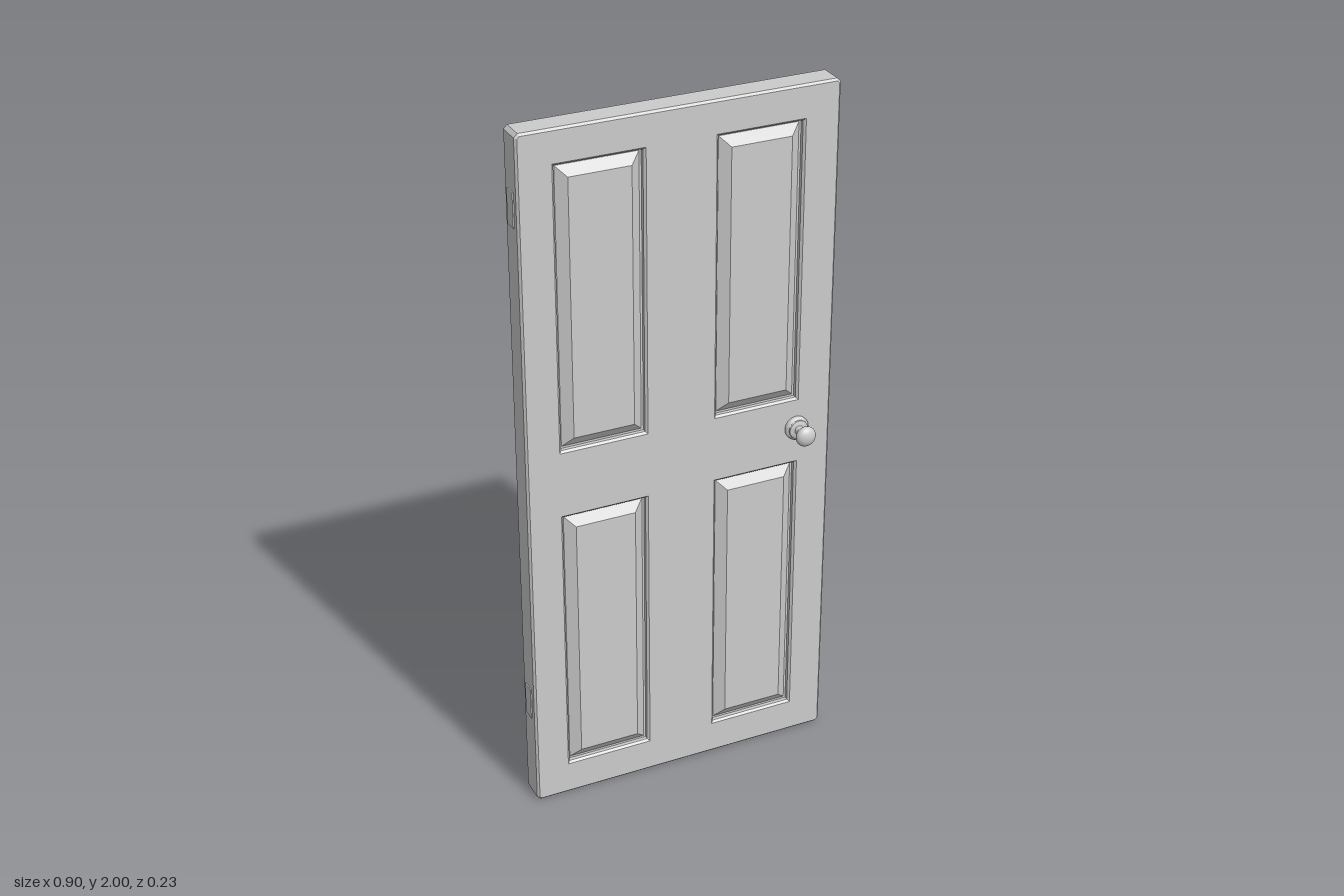
import * as THREE from 'three';
import { toCreasedNormals } from 'three/addons/utils/BufferGeometryUtils.js';

const material = new THREE.MeshStandardMaterial({ color: 0xcccccc });

function addMesh(parent, name, geometry, x = 0, y = 0, z = 0) {
  const mesh = new THREE.Mesh(geometry, material);
  mesh.name = name;
  mesh.position.set(x, y, z);
  parent.add(mesh);
  return mesh;
}

// Rectangle outline, optionally with clipped corners.
function rectPoints(x0, x1, y0, y1, c = 0) {
  const pts = c
    ? [[x0 + c, y0], [x1 - c, y0], [x1, y0 + c], [x1, y1 - c], [x1 - c, y1], [x0 + c, y1], [x0, y1 - c], [x0, y0 + c]]
    : [[x0, y0], [x1, y0], [x1, y1], [x0, y1]];
  return pts.map(([x, y]) => new THREE.Vector2(x, y));
}

// Plate centred on z = 0 whose front and back edges are chamfered inwards.
function chamferedPlate(shape, halfThickness, bevelSize, bevelThickness) {
  const depth = 2 * (halfThickness - bevelThickness);
  const geometry = new THREE.ExtrudeGeometry(shape, {
    depth, bevelEnabled: true, bevelSegments: 1, bevelSize, bevelThickness, bevelOffset: -bevelSize,
  });
  return geometry.translate(0, 0, -depth / 2);
}

function lathe(profile) {
  const pts = profile.map(([r, h]) => new THREE.Vector2(r, h));
  return toCreasedNormals(new THREE.LatheGeometry(pts, 40).rotateX(Math.PI / 2), 0.6);
}

// Rosette, stem and handle, pointing along +z.
function createKnob() {
  const knob = new THREE.Group();
  addMesh(knob, 'rosette', lathe([
    [0.034, 0.036], [0.034, 0.047], [0.032, 0.05], [0.028, 0.053], [0.027, 0.057], [0.025, 0.058], [0, 0.058],
  ]));
  addMesh(knob, 'stem', lathe([
    [0.014, 0.056], [0.012, 0.06], [0.0115, 0.07], [0.012, 0.078], [0.015, 0.084],
  ]));
  const handle = new THREE.SphereGeometry(1, 40, 24).rotateX(Math.PI / 2).scale(0.029, 0.029, 0.0185);
  addMesh(knob, 'handle', handle, 0, 0, 0.0965);
  return knob;
}

export function createModel() {
  const door = new THREE.Group();
  door.name = 'door';

  const columns = [[-0.35, -0.098], [0.097, 0.349]];
  const rows = [[0.098, 0.908], [1.098, 1.908]];
  const lip = 0.006;
  const groove = 0.012;

  // Frame with four chamfered openings
  const outline = new THREE.Shape(rectPoints(-0.4445, 0.448, 0, 2, 0.01));
  for (const [x0, x1] of columns) {
    for (const [y0, y1] of rows) {
      outline.holes.push(new THREE.Path(rectPoints(x0 + lip, x1 - lip, y0 + lip, y1 - lip).reverse()));
    }
  }
  addMesh(door, 'frame', chamferedPlate(outline, 0.039, lip, 0.006));

  // Raised panels, each on a recessed bed, showing on both faces
  for (const [x0, x1] of columns) {
    for (const [y0, y1] of rows) {
      const panel = new THREE.Group();
      panel.name = 'panel';
      door.add(panel);
      addMesh(panel, 'panelBed', new THREE.BoxGeometry(x1 - x0 - 2 * lip, y1 - y0 - 2 * lip, 0.044),
        (x0 + x1) / 2, (y0 + y1) / 2);
      const field = new THREE.Shape(rectPoints(x0 + groove, x1 - groove, y0 + groove, y1 - groove));
      addMesh(panel, 'raisedField', chamferedPlate(field, 0.042, 0.028, 0.02));
    }
  }

  // Knobs on the front and the back
  for (const [name, angle] of [['frontKnob', 0], ['backKnob', Math.PI]]) {
    const knob = createKnob();
    knob.name = name;
    knob.position.set(0.344, 1.014, 0);
    knob.rotation.y = angle;
    door.add(knob);
  }

  // Hinge leaves on the edge opposite the knobs
  for (const y of [0.32, 1.795]) {
    addMesh(door, 'hinge', new THREE.BoxGeometry(0.01, 0.095, 0.038), -0.443, y);
  }

  return door;
}
